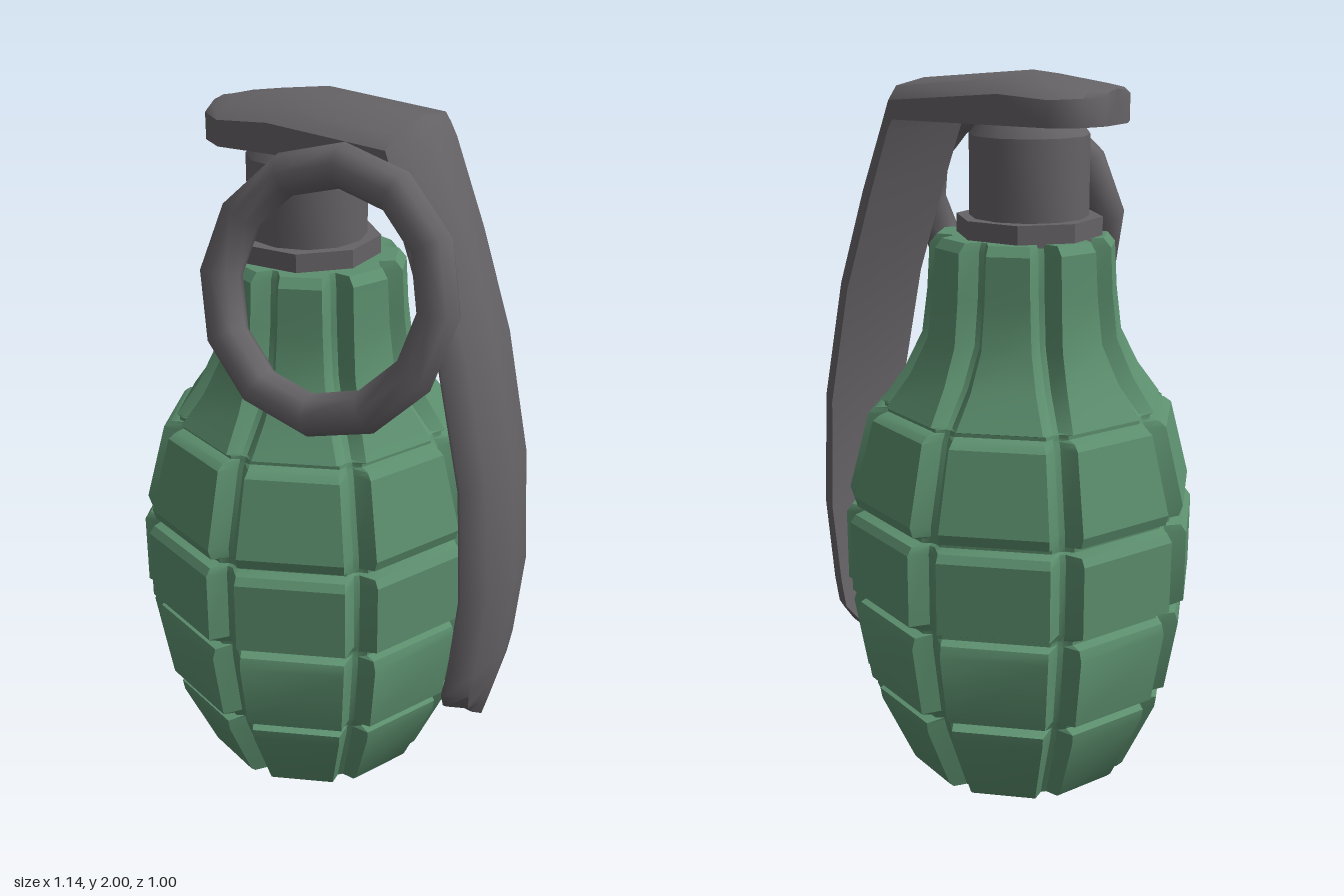
import * as THREE from 'three';
import { toCreasedNormals } from 'three/addons/utils/BufferGeometryUtils.js';

// Skin a list of closed rings (counter-clockwise seen from the far end) and cap both ends
function loft(rings, crease) {
  const n = rings[0].length, pos = [], idx = [];
  rings.forEach(r => r.forEach(p => pos.push(p.x, p.y, p.z)));
  for (let i = 0; i < rings.length - 1; i++) {
    for (let j = 0; j < n; j++) {
      const k = (j + 1) % n;
      const a = i * n + j, b = i * n + k, c = b + n, d = a + n;
      idx.push(a, b, c, a, c, d);
    }
  }
  [0, rings.length - 1].forEach(i => {
    const c = new THREE.Vector3();
    rings[i].forEach(p => c.addScaledVector(p, 1 / n));
    const ci = pos.length / 3;
    pos.push(c.x, c.y, c.z);
    for (let j = 0; j < n; j++) {
      const a = i * n + j, b = i * n + (j + 1) % n;
      if (i === 0) idx.push(ci, b, a); else idx.push(ci, a, b);
    }
  });
  const g = new THREE.BufferGeometry();
  g.setAttribute('position', new THREE.Float32BufferAttribute(pos, 3));
  g.setIndex(idx);
  return toCreasedNormals(g, crease);
}

// Octagon with a V groove at each of its eight corners
function groovedRing(y, r, depth, half) {
  const ring = [];
  for (let k = 0; k < 8; k++) {
    const a = k * Math.PI / 4;
    for (const [t, rad] of [[-half, r], [-0.008, r - depth], [0.008, r - depth], [half, r]]) {
      ring.push(new THREE.Vector3(
        rad * Math.sin(a) + t * Math.cos(a), y, rad * Math.cos(a) - t * Math.sin(a)));
    }
  }
  return ring;
}

// D-shaped lever section between an inner and an outer centre-line point
function leverRing([ix, iy, ox, oy, w, f]) {
  const mid = f + (1 - f) * 0.7;
  return [[-1, 0], [-1, f], [-0.74, mid], [0, 1], [0.74, mid], [1, f], [1, 0]].map(([s, t]) =>
    new THREE.Vector3(ix + (ox - ix) * t, iy + (oy - iy) * t, s * w));
}

export function createModel() {
  const green = new THREE.MeshStandardMaterial({ color: 0x5c8f6e });
  green.name = 'green paint';
  const grey = new THREE.MeshStandardMaterial({ color: 0x666366 });
  grey.name = 'grey metal';
  const model = new THREE.Group();
  const add = (name, geometry, material, x = 0, y = 0, z = 0) => {
    const m = new THREE.Mesh(geometry, material);
    m.name = name;
    m.position.set(x, y, z);
    model.add(m);
    return m;
  };

  // Segmented body: height, radius, groove depth, groove half width
  const profile = [
    [0.005, 0.315, 0.03, 0.032], [0.02, 0.33, 0.04, 0.036], [0.23, 0.425, 0.045, 0.042],
    [0.262, 0.43, 0.04, 0.042], [0.272, 0.405, 0.012, 0.03], [0.284, 0.41, 0.012, 0.03],
    [0.3, 0.452, 0.045, 0.042], [0.51, 0.487, 0.045, 0.045],
    [0.54, 0.478, 0.035, 0.042], [0.548, 0.455, 0.012, 0.03], [0.558, 0.455, 0.012, 0.03],
    [0.582, 0.5, 0.045, 0.045], [0.785, 0.5, 0.045, 0.045],
    [0.806, 0.485, 0.035, 0.042], [0.812, 0.455, 0.012, 0.03], [0.824, 0.455, 0.012, 0.03],
    [0.83, 0.478, 0.035, 0.042], [0.86, 0.487, 0.045, 0.045],
    [1.075, 0.43, 0.045, 0.042], [1.09, 0.41, 0.035, 0.04], [1.096, 0.385, 0.012, 0.03],
    [1.106, 0.385, 0.015, 0.03], [1.11, 0.392, 0.03, 0.04],
    [1.2, 0.325, 0.04, 0.042], [1.3, 0.274, 0.045, 0.042], [1.42, 0.258, 0.045, 0.042],
    [1.545, 0.25, 0.045, 0.042], [1.57, 0.23, 0.035, 0.036],
  ];
  add('body', loft(profile.map(p => groovedRing(...p)), 0.5), green, -0.07);

  // Fuse collar and stem
  const collar = new THREE.CylinderGeometry(0.2, 0.2, 0.06, 8);
  collar.rotateY(Math.PI / 8);
  add('collar', toCreasedNormals(collar, 0.5), grey, -0.09, 1.59);
  const stem = new THREE.LatheGeometry(
    [[0, 1.57], [0.162, 1.57], [0.162, 1.835], [0.135, 1.872], [0, 1.872]]
      .map(([x, y]) => new THREE.Vector2(x, y)), 12);
  add('fuseStem', toCreasedNormals(stem, 0.6), grey, -0.09);

  // Safety lever: inner x, y, outer x, y, half width, side height fraction
  const lever = [
    [-0.35, 1.87, -0.35, 1.96, 0.06, 0.8], [-0.32, 1.87, -0.32, 1.965, 0.13, 0.75],
    [-0.25, 1.87, -0.25, 1.975, 0.18, 0.65], [-0.1, 1.87, -0.1, 2.0, 0.18, 0.6],
    [0.23, 1.87, 0.25, 1.97, 0.18, 0.5], [0.245, 1.84, 0.29, 1.91, 0.18, 0.35],
    [0.31, 1.66, 0.39, 1.67, 0.18, 0.15], [0.4, 1.39, 0.48, 1.4, 0.18, 0.1],
    [0.47, 1.05, 0.55, 1.06, 0.18, 0.1], [0.485, 0.72, 0.572, 0.72, 0.18, 0.1],
    [0.46, 0.48, 0.547, 0.46, 0.18, 0.1], [0.445, 0.4, 0.533, 0.385, 0.18, 0.1],
    [0.425, 0.32, 0.515, 0.31, 0.12, 0.1], [0.405, 0.26, 0.495, 0.24, 0.02, 0.1],
  ];
  add('safetyLever', loft(lever.map(leverRing), 0.85), grey);

  // Pull ring leaning against the stem
  const ring = add('pullRing', new THREE.TorusGeometry(0.31, 0.056, 8, 12), grey, 0.15, 1.585, 0.31);
  ring.rotation.x = -0.26;

  return model;
}
